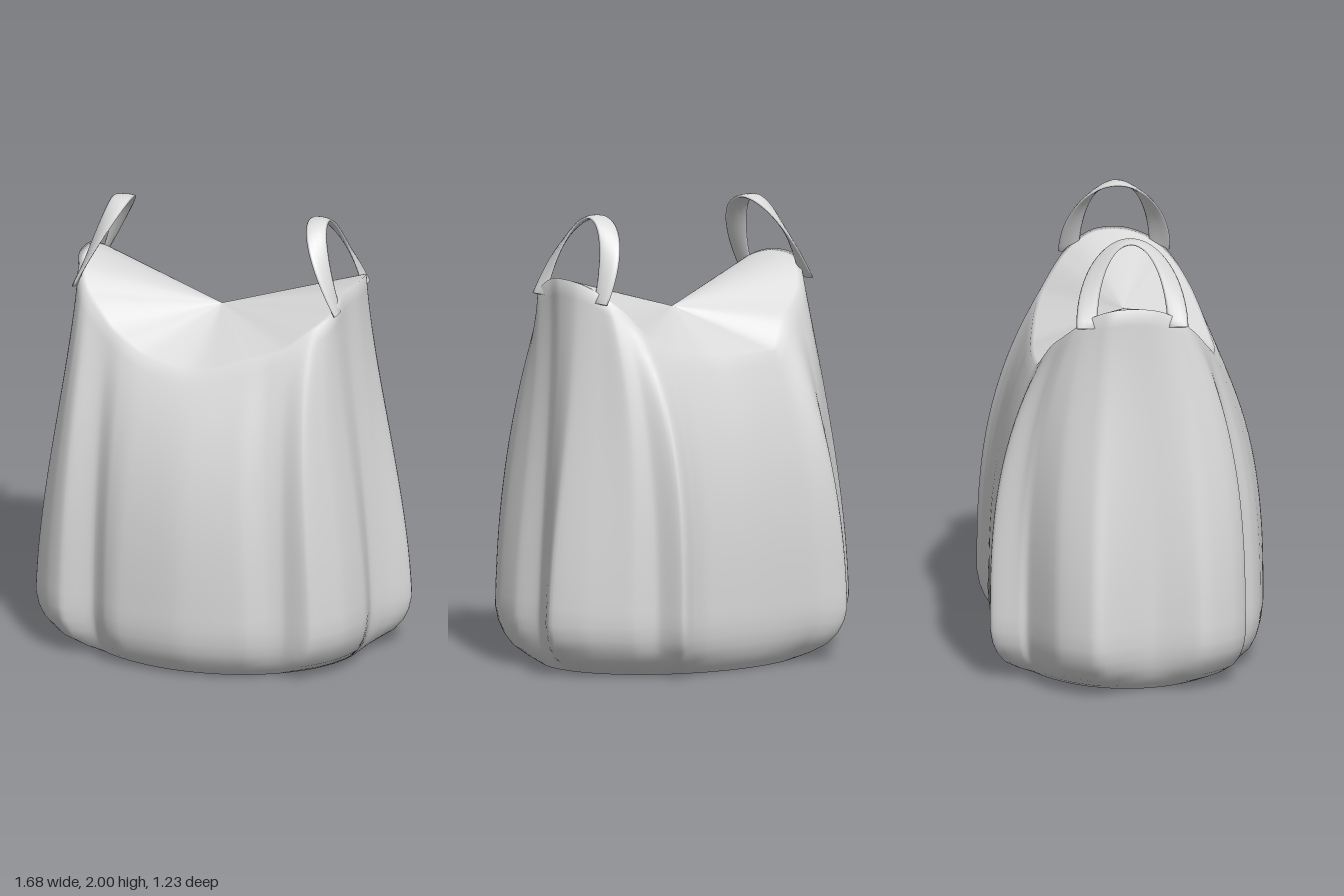
import * as THREE from 'three';

const canvas = new THREE.MeshStandardMaterial({ color: 0xdadada, side: THREE.DoubleSide });
canvas.name = 'grey canvas';
const paleBlue = new THREE.MeshStandardMaterial({ color: 0xb4d8e6 });
paleBlue.name = 'pale blue';

// Fold lines around the sack: widest outline x, z, then rim x, z
const FOLDS = [
  [0, .615, 0, .40], [.29, .575, .22, .37], [.38, .51, .34, .35], [.45, .49, .42, .33],
  [.58, .51, .50, .29], [.69, .37, .55, .26], [.735, .21, .59, .22], [.715, .08, .61, .12],
  [.76, -.01, .64, .03], [.835, -.125, .64, -.08], [.76, -.27, .60, -.17], [.62, -.43, .57, -.22],
  [.52, -.49, .53, -.26], [.48, -.61, .46, -.33], [.40, -.595, .38, -.36], [.30, -.58, .28, -.38],
  [0, -.59, 0, -.41], [-.33, -.59, -.25, -.40], [-.48, -.615, -.36, -.34], [-.525, -.50, -.46, -.30],
  [-.54, -.45, -.53, -.26], [-.735, -.34, -.58, -.21], [-.84, -.20, -.62, -.14], [-.84, -.13, -.64, -.08],
  [-.725, .08, -.64, .06], [-.76, .28, -.61, .15], [-.74, .35, -.59, .20], [-.66, .45, -.56, .24],
  [-.58, .50, -.52, .27], [-.44, .48, -.42, .33], [-.36, .55, -.33, .36], [-.28, .585, -.22, .385],
];

// The rim dips towards the front and back
const rimHeight = z => 1.735 - .365 * Math.min(1, Math.abs(z) / .4) ** 2.5;

// Closed rings of equal length joined into one smooth skin
function skin(rings, closeEnds = false) {
  const n = rings[0].length, index = [];
  for (let j = 0; j < rings.length - 1; j++) {
    for (let i = 0; i < n; i++) {
      const k = (i + 1) % n;
      const a = j * n + i, b = j * n + k, c = b + n, d = a + n;
      index.push(a, b, c, a, c, d);
    }
  }
  if (closeEnds) {
    const e = (rings.length - 1) * n;
    for (let i = 1; i < n - 1; i++) index.push(0, i + 1, i, e, e + i, e + i + 1);
  }
  const g = new THREE.BufferGeometry();
  g.setAttribute('position', new THREE.Float32BufferAttribute(rings.flat().flatMap(p => p.toArray()), 3));
  g.setIndex(index);
  g.computeVertexNormals();
  return g;
}

function sackGeometry() {
  const N = 192;
  const loop = (a, b, tension) => new THREE.CatmullRomCurve3(
    FOLDS.map(f => new THREE.Vector3(f[a], 0, f[b])), true, 'catmullrom', tension);
  const outer = loop(0, 1, .3), top = loop(2, 3, .45);
  const wide = [], rim = [];
  for (let i = 0; i < N; i++) {
    wide.push(outer.getPoint(i / N).setY(.23));
    const p = top.getPoint(i / N);
    rim.push(p.setY(rimHeight(p.z)));
  }
  const rings = [];
  // rounded underside, tucking in to an open oval
  for (const [y, f] of [[0, 1], [.03, .68], [.07, .37], [.12, .17], [.17, .06]]) {
    rings.push(wide.map(p => {
      const a = Math.atan2(p.z / .5, p.x / .64);
      return p.clone().lerp(new THREE.Vector3(.64 * Math.cos(a), 0, .5 * Math.sin(a)), f).setY(y);
    }));
  }
  // walls, bulging front and back, sloping in at the sides
  for (let j = 0; j <= 20; j++) {
    const s = j / 20;
    const kx = .3 * s + .7 * s * s * (3 - 2 * s), kz = s ** 2.8;
    rings.push(wide.map((p, i) => new THREE.Vector3(
      p.x + (rim[i].x - p.x) * kx,
      p.y + (rim[i].y - p.y) * s,
      p.z + (rim[i].z - p.z) * kz)));
  }
  // saddle-shaped closed top
  const middle = new THREE.Vector3(0, 1.55, 0);
  for (const f of [.04, .1, .3, .55, .8, .999]) rings.push(rim.map(p => p.clone().lerp(middle, f)));
  return skin(rings);
}

// Twisting ribbon: flat across the top, turned edge-on at both feet
function strapGeometry() {
  const centre = a => new THREE.Vector3(.6 - .15 * Math.sin(a), 1.64 + .35 * Math.sin(a), .2 * Math.cos(a));
  const rings = [];
  for (let j = 0; j <= 40; j++) {
    const a = Math.PI * j / 40;
    const c = centre(a);
    const tangent = centre(a + .01).sub(centre(a - .01)).normalize();
    const across = new THREE.Vector3(-Math.sin(a), 0, Math.cos(a));
    const normal = new THREE.Vector3().crossVectors(tangent, across).normalize();
    const ring = [];
    for (let i = 0; i < 10; i++) {
      const t = i / 10 * Math.PI * 2;
      ring.push(c.clone().addScaledVector(across, .046 * Math.cos(t)).addScaledVector(normal, -.009 * Math.sin(t)));
    }
    rings.push(ring);
  }
  return skin(rings, true);
}

// Round-bottomed container standing inside the sack
function jarGeometry(r, h) {
  const pts = [[0, 0], [r * .7, 0], [r * .8, .008], [r * .95, .04], [r, .08],
    [r, h - .08], [r * .9, h - .02], [r * .75, h], [0, h]];
  return new THREE.LatheGeometry(pts.map(p => new THREE.Vector2(...p)), 40);
}

export function createModel() {
  const model = new THREE.Group();
  model.name = 'sack with jars';
  const add = (name, geometry, material) => {
    const mesh = new THREE.Mesh(geometry, material);
    mesh.name = name;
    model.add(mesh);
    return mesh;
  };

  add('sack', sackGeometry(), canvas);

  // carrying straps
  add('leftStrap', strapGeometry(), canvas);
  const rightStrap = add('rightStrap', strapGeometry(), canvas);
  rightStrap.rotation.y = Math.PI;
  rightStrap.position.x = -.01;

  // contents
  add('leftJar', jarGeometry(.165, .85), canvas).position.set(.345, .01, .14);
  add('middleJar', jarGeometry(.165, .85), canvas).position.set(.035, .01, -.055);
  add('blueJar', jarGeometry(.18, .85), paleBlue).position.set(-.31, .01, .08);

  return model;
}
